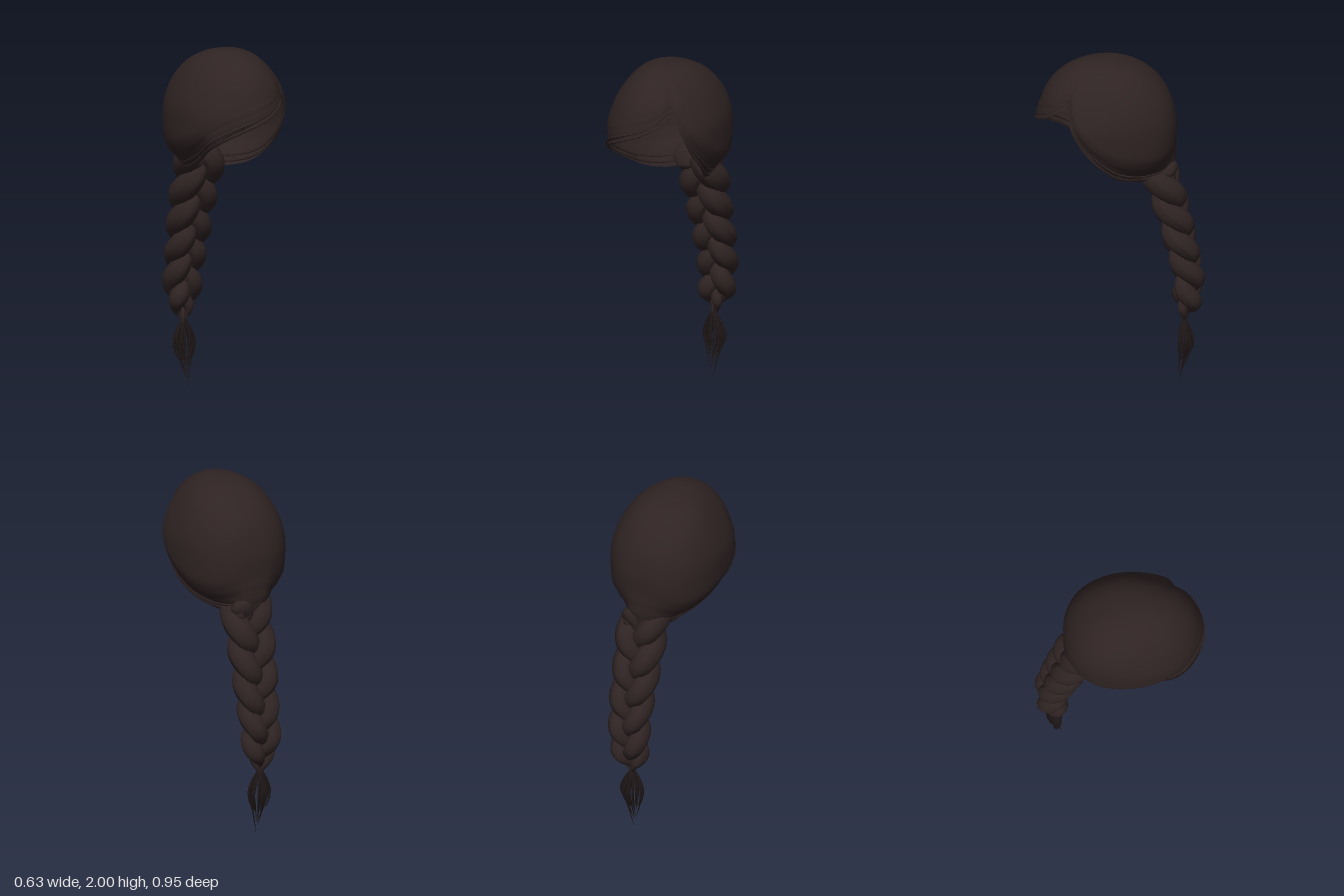
import * as THREE from 'three';

const { smoothstep, lerp } = THREE.MathUtils;
const V = (x, y, z) => new THREE.Vector3(x, y, z);

// Small seeded generator for loose hairs
let seed = 7;
const rand = () => (seed = (seed * 16807) % 2147483647) / 2147483647;

// Hairline: parting, down the left side, nape, up the right side, swept fringe
const rim = new THREE.CatmullRomCurve3([
  [0.19, 1.77, 0.335], [0.24, 1.66, 0.30], [0.25, 1.54, 0.235], [0.25, 1.43, 0.14],
  [0.205, 1.34, 0.04], [0.14, 1.295, -0.08], [0.10, 1.28, -0.19], [0.05, 1.27, -0.265],
  [-0.05, 1.27, -0.265], [-0.10, 1.28, -0.19], [-0.14, 1.295, -0.08], [-0.19, 1.335, 0.04],
  [-0.225, 1.405, 0.165], [-0.25, 1.48, 0.28], [-0.20, 1.545, 0.385], [-0.08, 1.61, 0.46],
  [0.04, 1.66, 0.455], [0.13, 1.71, 0.41],
].map((p) => V(...p)), true);

const centre = V(0, 1.62, 0.08);
const up = V(0, 1, 0);

// Distance from the head centre to the skull along a direction: a forward-leaning
// ellipsoid, rounder at the forehead and fuller at the back and below
function skull(d) {
  const z = d.z - 0.11 * Math.max(d.y, 0);
  const a = 0.315 * (1 - 0.06 * smoothstep(d.y, 0.1, 0.8));
  const c = lerp(0.395, 0.375, smoothstep(z, -0.3, 0.3));
  const b = d.y > 0 ? 0.38 : 0.50;
  const e = 2.35 - 0.35 * smoothstep(z, -0.3, 0.3) * smoothstep(d.y, -0.2, 0.4);
  const sum = Math.abs(d.x / a) ** e + Math.abs(d.y / b) ** e + Math.abs(z / c) ** e;
  return sum ** (-1 / e);
}

// Point on the cap: u runs round the hairline, t from crown (0) to hairline (1)
function capPoint(u, t, lift = 1) {
  u = ((u % 1) + 1) % 1;
  const edge = rim.getPoint(u).sub(centre);
  const reach = edge.length();
  edge.divideScalar(reach);
  const w = up.angleTo(edge);
  const d = up.clone().multiplyScalar(Math.sin((1 - t) * w) / Math.sin(w))
    .addScaledVector(edge, Math.sin(t * w) / Math.sin(w)).normalize();
  const blend = smoothstep(t, 0.74, 1);
  const ripple = 1 + 0.007 * smoothstep(t, 0.72, 0.9) * Math.sin(t * 85 + Math.sin(u * 19));
  const du = Math.min(u, 1 - u) / 0.025;
  const crease = 1 - 0.035 * smoothstep(t, 0.4, 1) * Math.exp(-du * du);
  const r = skull(d) * lerp(1, reach / skull(edge), blend) * ripple * crease * lift;
  return d.multiplyScalar(r).add(centre);
}

function capGeometry() {
  const cols = 108, rows = 44, pos = [], index = [];
  for (let j = 0; j <= rows; j++) {
    for (let i = 0; i < cols; i++) pos.push(...capPoint(i / cols, j / rows).toArray());
  }
  for (let j = 0; j < rows; j++) {
    for (let i = 0; i < cols; i++) {
      const k = (i + 1) % cols;
      const a = j * cols + i, b = a + cols, c = (j + 1) * cols + k, d = j * cols + k;
      if (j > 0) index.push(a, b, d);
      index.push(b, c, d);
    }
  }
  const g = new THREE.BufferGeometry();
  g.setAttribute('position', new THREE.Float32BufferAttribute(pos, 3));
  g.setIndex(index);
  g.computeVertexNormals();
  return g;
}

// Tube whose radius follows a rule along its length and round its section
function lock(points, steps, sides, radius) {
  const path = new THREE.CatmullRomCurve3(points);
  const g = new THREE.TubeGeometry(path, steps, 1, sides);
  const p = g.attributes.position, v = V(0, 0, 0);
  for (let i = 0; i <= steps; i++) {
    const o = path.getPointAt(i / steps);
    for (let j = 0; j <= sides; j++) {
      const n = i * (sides + 1) + j;
      v.fromBufferAttribute(p, n).sub(o).multiplyScalar(radius(i / steps, (j / sides) * Math.PI * 2));
      p.setXYZ(n, o.x + v.x, o.y + v.y, o.z + v.z);
    }
  }
  g.computeVertexNormals();
  return g;
}

// Braid centre line, half width and plaiting angle, s from nape (0) to tie (1)
const spine = new THREE.CatmullRomCurve3([
  [0.02, 1.38, -0.19], [0.02, 1.20, -0.25], [0.02, 1.0, -0.308], [0.026, 0.8, -0.352],
  [0.02, 0.65, -0.383], [0.015, 0.47, -0.372], [0.01, 0.35, -0.355],
].map((p) => V(...p)));
const braidWidth = (s) => 0.153 * (1 - 0.33 * s) * (0.13 + 0.87 * (1 - smoothstep(s, 0.84, 1)));
const plaitAngle = (s, k) => Math.PI * 2 * (1.7 * s + 0.3 * s * s + k / 3);

export function createModel() {
  const model = new THREE.Group();
  model.name = 'braidedHair';
  const hair = new THREE.MeshStandardMaterial({ color: 0x2f2323, side: THREE.DoubleSide });
  hair.name = 'darkBrownHair';
  const strandMat = new THREE.MeshStandardMaterial({ color: 0x1f1717, side: THREE.DoubleSide });
  strandMat.name = 'fineDarkStrands';
  const add = (name, geometry, material = hair, parent = model) => {
    const m = new THREE.Mesh(geometry, material);
    m.name = name;
    parent.add(m);
  };
  const group = (name) => {
    const g = new THREE.Group();
    g.name = name;
    model.add(g);
    return g;
  };

  // Smooth hair shell over the head
  add('hairCap', capGeometry());

  // Locks swept along the hairline: start u, end u, start t, end t
  const edges = group('hairlineLocks');
  [
    [0.03, 0.36, 0.985, 0.97], [0.05, 0.38, 0.94, 0.93],
    [0.97, 0.50, 0.985, 0.97], [0.96, 0.48, 0.94, 0.93],
  ].forEach(([u0, u1, t0, t1], k) => {
    const pts = [];
    for (let i = 0; i <= 16; i++) pts.push(capPoint(lerp(u0, u1, i / 16), lerp(t0, t1, i / 16)));
    add('hairlineLock' + (k + 1), lock(pts, 50, 8, (s) => 0.001 + 0.008 * Math.sin(Math.PI * s) ** 0.5), hair, edges);
  });

  // Loose hairs just outside the hairline
  const loose = group('looseHairs');
  for (let k = 0; k < 16; k++) {
    const left = k % 2 === 0;
    const u0 = left ? 0.08 + 0.12 * rand() : 0.72 + 0.14 * rand();
    const u1 = u0 + (left ? 1 : -1) * (0.12 + 0.1 * rand());
    const t = 0.93 + 0.07 * rand(), bow = 0.015 + 0.03 * rand();
    const pts = [];
    for (let i = 0; i <= 6; i++) pts.push(capPoint(lerp(u0, u1, i / 6), t, 1 + bow * Math.sin(Math.PI * i / 6)));
    add('looseHair', lock(pts, 14, 4, () => 0.0016), strandMat, loose);
  }

  // Three plaited strands
  const braid = group('braid');
  for (let k = 0; k < 3; k++) {
    const pts = [];
    for (let i = 0; i <= 60; i++) {
      const s = i / 60, w = braidWidth(s), a = plaitAngle(s, k);
      pts.push(spine.getPointAt(s).add(V(0.52 * w * Math.sin(a), 0, 0.29 * w * Math.sin(2 * a))));
    }
    const radius = (s, f) => {
      const swell = 0.42 + 0.09 * Math.sin(plaitAngle(s, k)) ** 2;
      const ends = Math.min(1, 0.15 + s / 0.03);
      return braidWidth(s) * swell * ends * (1 + 0.04 * Math.sin(6 * f));
    };
    add('braidStrand' + (k + 1), lock(pts, 130, 18, radius), hair, braid);
  }

  // Locks gathered from the nape into the braid
  const nape = group('napeLocks');
  [-0.08, -0.03, 0.04, 0.09].forEach((x) => {
    const pts = [V(x, 1.36, -0.255), V(x, 1.30, -0.275), V(x * 0.8, 1.23, -0.27)];
    add('napeLock', lock(pts, 14, 8, (s) => 0.003 + 0.024 * Math.sin(Math.PI * s)), hair, nape);
  });

  // Tuft of thin wisps below the tie
  const tuft = group('braidTuft');
  for (let k = 0; k < 18; k++) {
    const a = k * 2.4, b = 0.45 + 0.55 * Math.sqrt(rand());
    const x = 0.07 * b * Math.cos(a), z = 0.047 * b * Math.sin(a);
    const end = k === 0 ? 0 : 0.04 + 0.14 * rand();
    const pts = [
      V(0.01 + x * 0.15, 0.385, -0.357 + z * 0.15), V(0.013 + x * 0.7, 0.32, -0.36 + z * 0.7),
      V(0.016 + x, 0.25, -0.362 + z), V(0.014 + x * 0.6, 0.16, -0.35 + z * 0.6),
      V(0.012 + x * 0.1, end, -0.33 + z * 0.15),
    ];
    add('tuftWisp', lock(pts, 18, 5, (s) => 0.0008 + 0.0085 * Math.sin(Math.PI * (0.12 + 0.88 * s)) * (1 - 0.6 * s)), strandMat, tuft);
  }

  return model;
}
